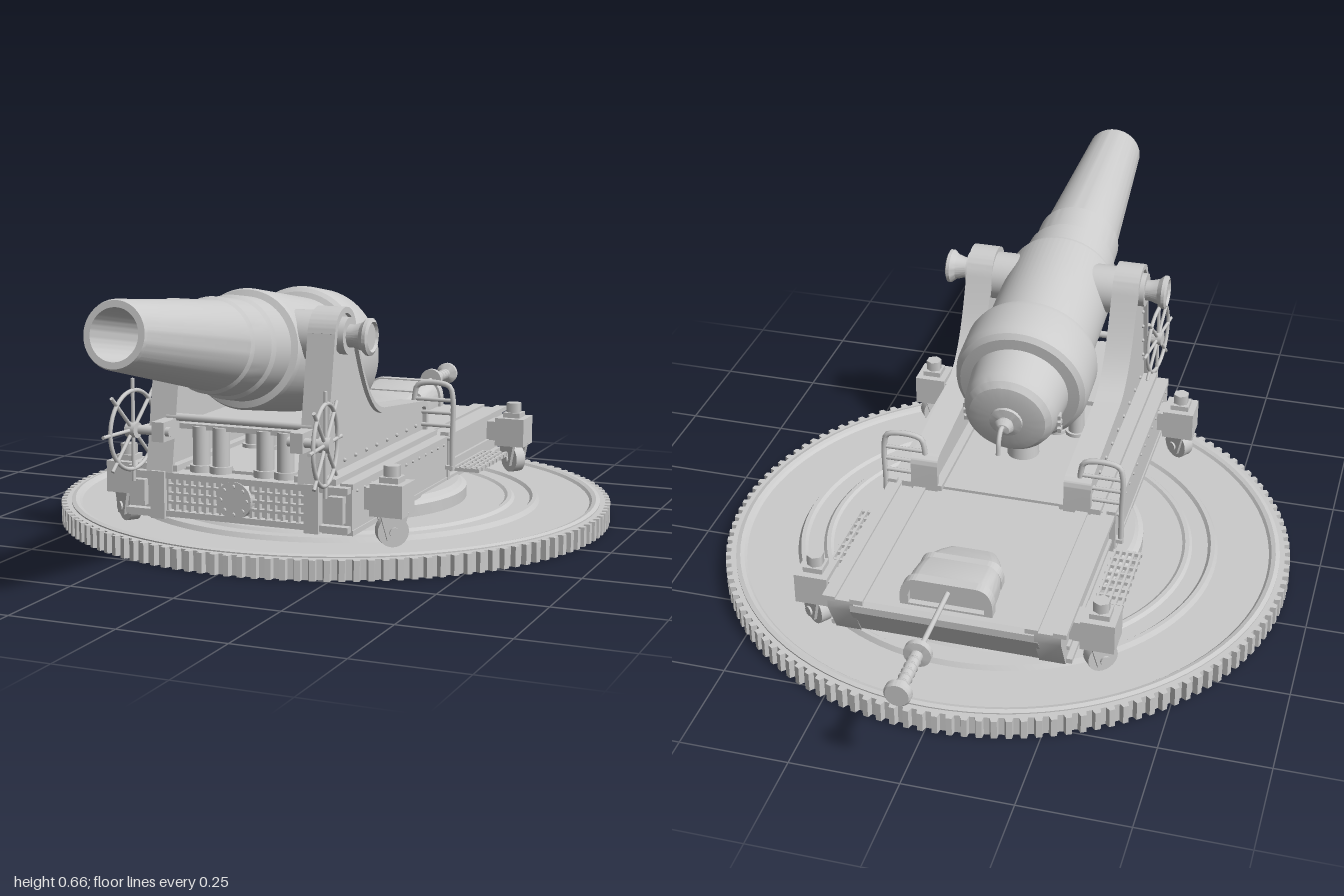
import * as THREE from 'three';
import { toCreasedNormals } from 'three/addons/utils/BufferGeometryUtils.js';

const mat = new THREE.MeshStandardMaterial({ color: 0xcccccc, roughness: 0.7 });
const matDouble = new THREE.MeshStandardMaterial({ color: 0xcccccc, side: THREE.DoubleSide });
const V = (x, y, z) => new THREE.Vector3(x, y, z);

export function createModel() {
  const root = new THREE.Group();
  const cz = -0.143; // centre of the turntable

  const add = (name, geo, x = 0, y = 0, z = 0, parent = root, m = mat) => {
    const mesh = new THREE.Mesh(geo, m);
    mesh.name = name;
    mesh.position.set(x, y, z);
    parent.add(mesh);
    return mesh;
  };
  const group = (name, x = 0, y = 0, z = 0, parent = root) => {
    const g = new THREE.Group();
    g.name = name;
    g.position.set(x, y, z);
    parent.add(g);
    return g;
  };
  const box = (name, w, h, d, x, y, z, parent) => add(name, new THREE.BoxGeometry(w, h, d), x, y, z, parent);
  const lathe = (pts, seg = 48) =>
    toCreasedNormals(new THREE.LatheGeometry(pts.map(p => new THREE.Vector2(...p)), seg), 0.35);
  const cylX = (r, len, seg = 24) => new THREE.CylinderGeometry(r, r, len, seg).rotateZ(Math.PI / 2);
  const cylZ = (r, len, seg = 24) => new THREE.CylinderGeometry(r, r, len, seg).rotateX(Math.PI / 2);
  const tube = (pts, r, seg = 24) => new THREE.TubeGeometry(new THREE.CatmullRomCurve3(pts), seg, r, 8);
  // Extrudes a (z, y) outline across x, centred on x = 0
  const sideExtrude = (shape, width) => {
    const g = new THREE.ExtrudeGeometry(shape, { depth: width, bevelEnabled: false, curveSegments: 16 });
    return toCreasedNormals(g.rotateY(-Math.PI / 2).translate(width / 2, 0, 0), 0.5);
  };
  const poly = pts => new THREE.Shape(pts.map(p => new THREE.Vector2(...p)));

  // Turntable: thin stepped disc, hollow underneath, with a toothed rim
  add('turntable', lathe([[0, 0.07], [0.315, 0.07], [0.315, 0.038], [0.485, 0.038], [0.495, 0.026], [0.58, 0.026],
    [0.59, 0.014], [0.625, 0.014], [0.635, 0.003], [0.662, 0.003], [0.662, 0.05], [0.652, 0.053], [0.642, 0.05],
    [0.636, 0.044], [0.512, 0.044], [0.505, 0.055], [0.495, 0.055], [0.488, 0.048], [0.45, 0.048],
    [0.443, 0.055], [0.433, 0.055], [0.426, 0.05], [0.322, 0.05], [0.322, 0.075], [0, 0.075]], 96), 0, 0, cz);
  const gear = new THREE.Shape();
  const teeth = 132;
  for (let i = 0; i < teeth; i++) {
    [[0, 0.674], [0.4, 0.674], [0.5, 0.687], [0.9, 0.687]].forEach(([f, r], k) => {
      const a = (i + f) / teeth * Math.PI * 2;
      gear[i + k ? 'lineTo' : 'moveTo'](Math.cos(a) * r, Math.sin(a) * r);
    });
  }
  gear.holes.push(new THREE.Path().absarc(0, 0, 0.655, 0, Math.PI * 2, true));
  add('gearRim', new THREE.ExtrudeGeometry(gear, { depth: 0.047, bevelEnabled: false, curveSegments: 96 })
    .rotateX(-Math.PI / 2), 0, 0, cz);
  add('pivotRing', lathe([[0.322, 0.05], [0.33, 0.05], [0.33, 0.078], [0.318, 0.084], [0.31, 0.095],
    [0, 0.095]], 64), 0, 0, cz);

  // Chassis: deck between two flanged girders
  add('deck', sideExtrude(poly([[0.43, 0.1], [0.43, 0.2], [-0.67, 0.2], [-0.68, 0.19], [-0.68, 0.172],
    [-0.635, 0.095]]), 0.43));
  const web = poly([[0.43, 0.09], [0.43, 0.2], [-0.68, 0.2], [-0.68, 0.175], [-0.635, 0.09]]);
  for (const s of [-1, 1]) {
    add('girder', sideExtrude(web, 0.06), s * 0.237);
    box('girderTopFlange', 0.03, 0.012, 1.11, s * 0.264, 0.2, -0.125);
    box('girderInnerRail', 0.03, 0.012, 1.11, s * 0.2, 0.2, -0.125);
    box('girderBottomFlange', 0.09, 0.012, 1.06, s * 0.235, 0.096, -0.1);
    box('sideStrip', 0.012, 0.01, 0.42, s * 0.268, 0.132, -0.42);
    box('sidePlate', 0.012, 0.1, 0.63, s * 0.271, 0.148, 0.115);
    box('sidePost', 0.022, 0.12, 0.014, s * 0.27, 0.155, -0.205);
    for (let i = 0; i < 14; i++)
      add('rivet', new THREE.SphereGeometry(0.004, 6, 4), s * 0.277, 0.187, 0.4 - i * 0.044);
    // Slatted footboard
    for (let i = 0; i < 5; i++) box('footboardSlat', 0.005, 0.012, 0.235, s * (0.287 + i * 0.015), 0.118, -0.345);
    for (let i = 0; i < 9; i++) box('footboardBar', 0.07, 0.009, 0.007, s * 0.317, 0.117, -0.23 - i * 0.029);
    // Corner trucks, their wheels turned to roll around the pivot
    for (const z of [0.327, -0.575]) {
      const t = group('truck', s * 0.332, 0, z);
      box('truckBox', 0.078, 0.074, 0.08, 0, 0.16, 0, t);
      box('truckBracket', 0.06, 0.05, 0.06, -s * 0.045, 0.16, 0, t);
      box('truckCap', 0.046, 0.014, 0.046, 0, 0.203, 0, t);
      add('truckNut', new THREE.CylinderGeometry(0.02, 0.02, 0.026, 6), 0, 0.222, 0, t);
      const caster = group('caster', 0, 0, 0, t);
      caster.rotation.y = -Math.atan2(z - cz, s * 0.332);
      for (const e of [-1, 1]) add('truckFork', sideExtrude(poly([[-0.033, 0.13], [-0.016, 0.068], [0.016, 0.068],
        [0.033, 0.13]]), 0.008), e * 0.02, 0, 0, caster);
      add('truckWheel', cylX(0.036, 0.028), 0, 0.086, 0, caster);
      add('truckAxle', cylX(0.012, 0.058, 12), 0, 0.086, 0, caster);
    }
  }

  // Front grille
  box('frontBeamTop', 0.55, 0.014, 0.03, 0, 0.193, 0.435);
  box('frontBeamBottom', 0.55, 0.014, 0.03, 0, 0.105, 0.435);
  for (let i = 0; i < 19; i++) box('grilleBar', 0.006, 0.076, 0.014, -0.171 + i * 0.019, 0.15, 0.437);
  for (let i = 0; i < 3; i++) box('grilleCrossBar', 0.36, 0.006, 0.014, 0, 0.13 + i * 0.02, 0.437);
  add('grilleDisc', cylZ(0.043, 0.026, 32), 0, 0.15, 0.44);
  for (let i = 0; i < 8; i++) {
    const a = i * Math.PI / 4;
    add('discBolt', cylZ(0.005, 0.008, 8), Math.cos(a) * 0.032, 0.15 + Math.sin(a) * 0.032, 0.455);
  }
  for (const s of [-1, 1]) {
    box('frontBracket', 0.035, 0.06, 0.022, s * 0.245, 0.148, 0.437);
    box('frontStop', 0.035, 0.11, 0.03, s * 0.19, 0.148, 0.442);
  }

  // Carriage cheeks with a flanged edge
  const cheek = (o, low) => {
    const sh = new THREE.Shape();
    sh.moveTo(0.45 - o, low);
    sh.lineTo(0.393 - o, 0.53);
    sh.absarc(0.33, 0.52, 0.064 - o, 0.16, Math.PI - 0.5, false);
    sh.bezierCurveTo(0.235, 0.45 - o, 0.19, 0.335 - o, 0.09, 0.32 - o);
    sh.lineTo(-0.19, 0.292 - o);
    sh.quadraticCurveTo(-0.215 + o, 0.288 - o, -0.215 + o, 0.268 - o);
    sh.lineTo(-0.215 + o, low);
    return sh;
  };
  const rim = cheek(0, 0.2);
  rim.holes.push(new THREE.Path(cheek(0.014, 0.212).getPoints(16).reverse()));
  const spool = [[0, 0], [0.026, 0], [0.026, 0.03], [0.032, 0.05], [0.042, 0.062], [0.042, 0.07], [0.034, 0.074],
    [0.03, 0.068], [0, 0.068]];
  for (const s of [-1, 1]) {
    add('cheek', sideExtrude(cheek(0.006, 0.2), 0.046), s * 0.188);
    add('cheekFlange', sideExtrude(rim, 0.066), s * 0.188);
    box('cheekFoot', 0.1, 0.014, 0.66, s * 0.195, 0.21, 0.115);
    add('trunnion', cylX(0.06, 0.16, 32), s * 0.13, 0.513, 0.325);
    add('trunnionCollar', cylX(0.042, 0.086, 32), s * 0.188, 0.52, 0.33);
    add('trunnionSpool', lathe(spool, 32).rotateZ(-s * Math.PI / 2), s * 0.212, 0.52, 0.33);
    for (let i = 0; i < 9; i++) {
      add('cheekRivet', new THREE.SphereGeometry(0.005, 6, 4), s * 0.212, 0.235, 0.38 - i * 0.066);
      if (i < 5) add('cheekRivet', new THREE.SphereGeometry(0.005, 6, 4), s * 0.212, 0.29 + i * 0.045, 0.405 - i * 0.006);
    }
    // Rear guard ladder
    const guard = group('guardLadder', s * 0.242, 0, -0.195);
    add('guardFrame', tube([V(-0.05, 0.12, 0), V(-0.05, 0.2, 0), V(-0.05, 0.305, 0), V(-0.04, 0.332, 0),
      V(0.04, 0.332, 0), V(0.05, 0.305, 0), V(0.05, 0.2, 0), V(0.05, 0.12, 0)], 0.007, 48), 0, 0, 0, guard);
    for (let i = 0; i < 4; i++) add('guardRung', cylX(0.005, 0.1, 8), 0, 0.2 + i * 0.032, 0, guard);
    box('guardStep', 0.11, 0.01, 0.02, 0, 0.128, 0, guard);
    // Spoked handwheel
    const hw = group('handwheel', s * 0.236, 0.3, 0.482);
    hw.rotation.y = s * 0.1;
    add('wheelRim', new THREE.TorusGeometry(0.09, 0.005, 8, 40).rotateY(Math.PI / 2), 0, 0, 0, hw);
    add('wheelHub', cylX(0.018, 0.026, 16), 0, 0, 0, hw);
    for (let i = 0; i < 4; i++)
      add('wheelSpoke', new THREE.CylinderGeometry(0.0045, 0.0045, 0.236, 8), 0, 0, 0, hw).rotation.x = i * Math.PI / 4;
    add('wheelShaft', cylX(0.011, 0.1, 12), s * 0.195, 0.3, 0.475);
    box('shaftBearing', 0.03, 0.045, 0.08, s * 0.17, 0.3, 0.45);
  }

  // Elevating gear between the cheeks
  for (const z of [0.4, 0.12]) for (const x of [-0.105, -0.055, 0.055, 0.105]) {
    add('supportPillar', new THREE.CylinderGeometry(0.02, 0.02, 0.1, 20), x, 0.255, z);
    add('pillarFoot', new THREE.CylinderGeometry(0.027, 0.027, 0.016, 20), x, 0.208, z);
  }
  box('carriageFloor', 0.32, 0.012, 0.6, 0, 0.201, 0.1);
  box('crossPlate', 0.31, 0.012, 0.3, 0, 0.303, 0.26);
  add('crossShaft', cylX(0.009, 0.36, 12), 0, 0.325, 0.42);
  add('elevatingScrew', new THREE.CylinderGeometry(0.03, 0.04, 0.13, 24), 0, 0.265, 0);

  // Gun, pitched about the trunnions
  const gun = group('gun', 0, 0.475, 0.33);
  gun.rotation.x = -0.175;
  add('barrel', lathe([[0, -0.492], [0.07, -0.492], [0.093, -0.486], [0.106, -0.473], [0.113, -0.455],
    [0.121, -0.375], [0.148, -0.372], [0.16, -0.362], [0.165, -0.345], [0.165, -0.255], [0.16, -0.238], [0.15, -0.23],
    [0.137, -0.226], [0.137, 0.055], [0.133, 0.066], [0.118, 0.07], [0.116, 0.145], [0.108, 0.153], [0.106, 0.235],
    [0.099, 0.242], [0.071, 0.66], [0.068, 0.667], [0.054, 0.667], [0.052, -0.3], [0, -0.3]], 64)
    .rotateX(Math.PI / 2), 0, 0, 0, gun);
  add('breechKnob', lathe([[0, -0.53], [0.016, -0.526], [0.024, -0.514], [0.02, -0.504], [0.04, -0.5], [0.04, -0.485],
    [0, -0.485]], 24).rotateX(Math.PI / 2), 0, 0, 0, gun);
  add('breechHook', tube([V(0, 0.005, -0.52), V(0, 0.012, -0.54), V(0, -0.005, -0.562), V(0, -0.038, -0.572)], 0.006),
    0, 0, 0, gun);
  for (const s of [-1, 1]) for (let i = 0; i < 3; i++)
    box('breechLug', 0.01, 0.012, 0.016, s * 0.115, -0.01 - i * 0.02, -0.44, gun);

  // Rear hood, tapering toward the front
  const hoodSlice = new THREE.Shape();
  hoodSlice.moveTo(-0.1, 0);
  hoodSlice.lineTo(0.1, 0);
  hoodSlice.lineTo(0.1, 0.03);
  hoodSlice.quadraticCurveTo(0.096, 0.068, 0.065, 0.07);
  hoodSlice.lineTo(-0.065, 0.07);
  hoodSlice.quadraticCurveTo(-0.096, 0.068, -0.1, 0.03);
  const hoodGeo = new THREE.ExtrudeGeometry(hoodSlice, { depth: 0.19, steps: 8, bevelEnabled: false });
  const p = hoodGeo.attributes.position;
  for (let i = 0; i < p.count; i++) {
    const t = p.getZ(i) / 0.19;
    p.setX(i, p.getX(i) * (1 - 0.4 * t ** 3));
    p.setY(i, p.getY(i) * (1 - 0.6 * t * t));
  }
  hoodGeo.computeVertexNormals();
  add('hood', toCreasedNormals(hoodGeo, 0.6), 0, 0.196, -0.64);
  // Ring of the hood's section: outer size, hole size
  const hoodBand = (sx, sy, hole) => {
    const pts = hoodSlice.getPoints(8);
    const band = new THREE.Shape(pts.map(v => new THREE.Vector2(v.x * sx, v.y * sy)));
    band.holes.push(new THREE.Path(pts.map(v => new THREE.Vector2(v.x * sx * hole, 0.01 + v.y * sy * (hole - 0.12))).reverse()));
    return new THREE.ExtrudeGeometry(band, { depth: 0.025, bevelEnabled: false });
  };
  add('hoodLip', hoodBand(1.06, 1.06, 0.82), 0, 0.195, -0.655, root, matDouble);
  add('hoodBand', hoodBand(0.97, 0.86, 0.9), 0, 0.195, -0.55, root, matDouble);

  // Rod with a flanged handle
  add('rod', cylZ(0.006, 0.24, 12), 0, 0.235, -0.74);
  add('rodHandle', lathe([[0, -0.997], [0.026, -0.997], [0.03, -0.992], [0.03, -0.98], [0.014, -0.972], [0.014, -0.862],
    [0.031, -0.86], [0.031, -0.846], [0, -0.846]], 24).rotateX(Math.PI / 2), 0, 0.235, 0);
  for (let i = 0; i < 5; i++) add('handleRing', new THREE.TorusGeometry(0.013, 0.003, 6, 20), 0, 0.235, -0.882 - i * 0.019);
  return root;
}
